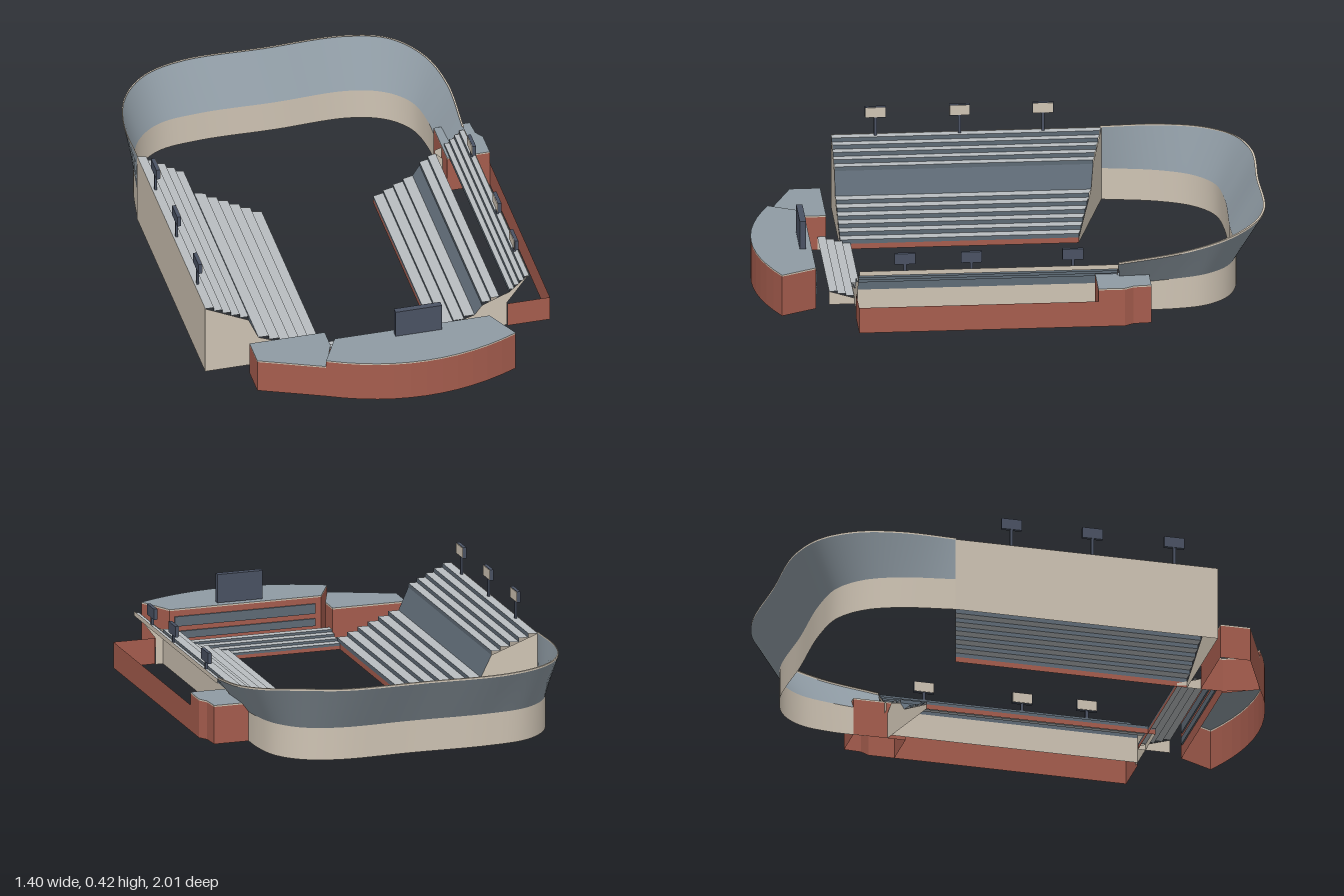
import * as THREE from 'three';

const mat = (name, color) => {
  const m = new THREE.MeshStandardMaterial({ color, side: THREE.DoubleSide });
  m.name = name;
  return m;
};

export function createModel() {
  const beige = mat('concrete', 0xcfc4b4), brick = mat('brick', 0xa65d4e), slate = mat('slate', 0x8f9ba4);
  const seat = mat('seating', 0xb9bec1), glass = mat('darkGlass', 0x5f6b76), navy = mat('navy', 0x4a5263);
  const model = new THREE.Group();
  model.name = 'stadium';

  const add = (name, geo, m, parent = model) => {
    const mesh = new THREE.Mesh(geo, m);
    mesh.name = name;
    parent.add(mesh);
    return mesh;
  };
  const box = (name, w, h, d, x, y, z, m, parent) =>
    add(name, new THREE.BoxGeometry(w, h, d).translate(x, y, z), m, parent);

  // flat quads, each given by four corners
  const quads = (list) => {
    const pos = [];
    for (const [a, b, c, d] of list) pos.push(...a, ...b, ...c, ...a, ...c, ...d);
    const g = new THREE.BufferGeometry();
    g.setAttribute('position', new THREE.Float32BufferAttribute(pos, 3));
    g.computeVertexNormals();
    return g;
  };

  // ribbon wall standing on a ground outline of [x, z] points
  const wall = (pts, y0, y1) => quads(pts.slice(1).map(([x, z], i) => {
    const [px, pz] = pts[i];
    return [[px, y0, pz], [x, y0, z], [x, y1, z], [px, y1, pz]];
  }));

  // flat polygon of [x, y] points, with z set by a rule on x
  const plate = (pts, zOf) => {
    const g = new THREE.ShapeGeometry(new THREE.Shape(pts.map(p => new THREE.Vector2(...p))));
    const p = g.attributes.position;
    for (let i = 0; i < p.count; i++) p.setZ(i, zOf(p.getX(i)));
    g.computeVertexNormals();
    return g;
  };

  // surface swept along x between two end lines
  const sweep = (x0, y0, x1, y1, zS, zN) =>
    [[x0, y0, zS], [x1, y1, zS], [x1, y1, zN(x1)], [x0, y0, zN(x0)]];

  // stepped seating from high (x0, y0) to low (x1, y1)
  const tier = (name, x0, y0, x1, y1, n, zS, zN, parent = model) => {
    const treads = [], risers = [], dx = (x1 - x0) / n, dy = (y1 - y0) / n;
    for (let i = 0; i < n; i++) {
      const x = x0 + dx * i, y = y0 + dy * i;
      treads.push(sweep(x, y, x + dx, y, zS, zN));
      risers.push(sweep(x + dx, y, x + dx, y + dy, zS, zN));
    }
    add(name + 'Treads', quads(treads), seat, parent);
    add(name + 'Risers', quads(risers), glass, parent);
  };

  // curved end bowl: upright base, outward flare and a thin rim
  const curve = (pts) => new THREE.CatmullRomCurve3(pts.map(p => new THREE.Vector3(...p)));
  const top = curve([[-0.7, 0.3, -0.43], [-0.7, 0.302, -0.65], [-0.65, 0.306, -0.82], [-0.54, 0.31, -0.94],
    [-0.37, 0.31, -1], [-0.05, 0.31, -1], [0.28, 0.31, -1], [0.45, 0.31, -0.94], [0.56, 0.29, -0.82],
    [0.61, 0.262, -0.65], [0.61, 0.225, -0.4]]);
  const foot = curve([[-0.7, 0.13, -0.43], [-0.66, 0.13, -0.65], [-0.6, 0.13, -0.78], [-0.5, 0.13, -0.86],
    [-0.33, 0.13, -0.888], [-0.03, 0.13, -0.885], [0.27, 0.13, -0.888], [0.41, 0.13, -0.84], [0.49, 0.13, -0.75],
    [0.52, 0.125, -0.62], [0.52, 0.11, -0.41]]);
  const loft = (a, b, n = 72) => {
    const pos = [], idx = [];
    for (let i = 0; i <= n; i++) {
      pos.push(...a(i / n).toArray(), ...b(i / n).toArray());
      if (i < n) idx.push(2 * i, 2 * i + 2, 2 * i + 1, 2 * i + 1, 2 * i + 2, 2 * i + 3);
    }
    const g = new THREE.BufferGeometry();
    g.setAttribute('position', new THREE.Float32BufferAttribute(pos, 3));
    g.setIndex(idx);
    g.computeVertexNormals();
    return g;
  };
  const topAt = t => top.getPoint(t), footAt = t => foot.getPoint(t);
  const groundAt = t => footAt(t).setY(0);
  const rimAt = t => topAt(t).add(new THREE.Vector3(0, 0.007, 0));
  const rimInAt = t => rimAt(t).lerp(footAt(t).setY(rimAt(t).y), 0.08);
  add('bowlBase', loft(groundAt, footAt), beige);
  add('bowlFlare', loft(footAt, topAt), slate);
  add('bowlRim', loft(topAt, rimAt), beige);
  add('bowlRimCap', loft(rimAt, rimInAt), beige);

  // tall side stand, hollow underneath
  const wN = x => -0.31 + (x + 0.23) * 0.266;
  tier('tallStandUpper', -0.7, 0.3, -0.525, 0.215, 5, 0.625, wN);
  add('tallStandSuites', quads([sweep(-0.525, 0.215, -0.485, 0.125, 0.625, wN)]), glass);
  tier('tallStandLower', -0.485, 0.125, -0.23, 0.022, 6, 0.625, wN);
  add('tallStandBack', wall([[-0.7, 0.625], [-0.7, -0.435]], 0, 0.302), beige);
  add('tallStandFascia', wall([[-0.23, 0.625], [-0.23, -0.31]], 0, 0.022), brick);
  const wEnd = [[-0.7, 0], [-0.7, 0.3], [-0.525, 0.215], [-0.485, 0.125], [-0.23, 0.022], [-0.23, 0]];
  add('tallStandSouthEnd', plate(wEnd, () => 0.625), beige);
  add('tallStandNorthEnd', plate(wEnd, wN), beige);

  // low side stand
  const eN = x => -0.31 - (x - 0.22) * 0.26;
  tier('lowStandUpper', 0.49, 0.14, 0.42, 0.11, 2, 0.615, eN);
  add('lowStandSuites', quads([sweep(0.42, 0.11, 0.39, 0.07, 0.615, eN)]), glass);
  tier('lowStandLower', 0.39, 0.07, 0.22, 0.02, 4, 0.615, eN);
  add('lowStandBack', wall([[0.49, 0.615], [0.49, -0.38]], 0, 0.105), beige);
  add('lowStandBackGlass', wall([[0.49, 0.615], [0.49, -0.38]], 0.105, 0.14), glass);
  add('lowStandFascia', wall([[0.22, 0.615], [0.22, -0.31]], 0, 0.02), brick);
  const eEnd = [[0.22, 0], [0.22, 0.02], [0.39, 0.07], [0.42, 0.11], [0.49, 0.14], [0.52, 0.105], [0.52, 0]];
  add('lowStandSouthEnd', plate(eEnd, () => 0.615), beige);
  add('lowStandNorthEnd', plate(eEnd, eN), beige);

  // raised rear deck of the low stand
  const deckN = () => -0.4;
  tier('rearDeck', 0.61, 0.218, 0.53, 0.15, 4, 0.615, deckN);
  add('rearDeckRail', wall([[0.61, 0.615], [0.61, -0.4]], 0.207, 0.226), beige);
  const deckEnd = [[0.61, 0.226], [0.52, 0.105], [0.49, 0.105], [0.49, 0.14], [0.53, 0.155]];
  for (const z of [0.615, -0.4]) add('rearDeckEnd', plate(deckEnd, () => z), beige);

  // short seating bank across the open end
  const bank = new THREE.Group();
  bank.name = 'endBank';
  bank.rotation.y = -Math.PI / 2;
  model.add(bank);
  tier('endBank', 0.715, 0.055, 0.585, 0.015, 4, 0.23, () => -0.37, bank);
  add('endBankFascia', wall([[0.585, 0.23], [0.585, -0.37]], 0, 0.015), brick, bank);
  for (const z of [0.23, -0.37])
    add('endBankSide', plate([[0.585, 0], [0.585, 0.015], [0.715, 0.055], [0.715, 0]], () => z), beige, bank);

  // brick buildings with flat roofs, given as ground outlines
  const building = (name, pts, h) => {
    add(name + 'Walls', wall([...pts, pts[0]], 0, h - 0.006), brick);
    add(name + 'Edge', wall([...pts, pts[0]], h - 0.006, h), beige);
    const g = new THREE.ShapeGeometry(new THREE.Shape(pts.map(([x, z]) => new THREE.Vector2(x, -z))));
    add(name + 'Roof', g.rotateX(-Math.PI / 2).translate(0, h, 0), slate);
  };
  const arc = [];
  for (let i = 0; i <= 12; i++) {
    const x = 0.48 - 0.765 * i / 12;
    arc.push([x, 1 - 0.64 * (x - 0.1) ** 2]);
  }
  building('clubhouse', [[-0.215, 0.77], [0.41, 0.77], ...arc], 0.17);
  building('clubhouseWing', [[-0.535, 0.68], [-0.232, 0.68], [-0.232, 0.77], [-0.285, 0.905], [-0.535, 0.8]], 0.142);
  building('cornerTower', [[0.52, -0.525], [0.665, -0.525], [0.67, -0.455], [0.692, -0.42], [0.692, -0.315], [0.52, -0.315]], 0.157);
  for (const [y, h] of [[0.065, 0.03], [0.12, 0.04]])
    box('clubhouseWindow', 0.58, h, 0.006, 0.1, y, 0.767, glass);
  add('concourseWall', wall([[0.52, 0.622], [0.692, 0.622], [0.692, -0.315]], 0, 0.105), brick);

  // scoreboard
  box('scoreboard', 0.187, 0.115, 0.025, 0.112, 0.23, 0.805, navy);

  // floodlights: post, head and a pale lamp face toward the field
  const floodlight = (x, z, y0, y1, dir) => {
    const g = new THREE.Group();
    g.name = 'floodlight';
    model.add(g);
    box('post', 0.009, y1 - y0, 0.012, x, (y0 + y1) / 2, z, navy, g);
    box('head', 0.014, 0.044, 0.082, x, y1, z, navy, g);
    box('lampFace', 0.003, 0.04, 0.078, x + dir * 0.008, y1, z, beige, g);
  };
  for (const z of [-0.205, 0.122, 0.452]) floodlight(-0.686, z, 0.295, 0.397, 1);
  for (const z of [-0.222, 0.175, 0.436]) floodlight(0.595, z, 0.205, 0.27, -1);

  return model;
}
